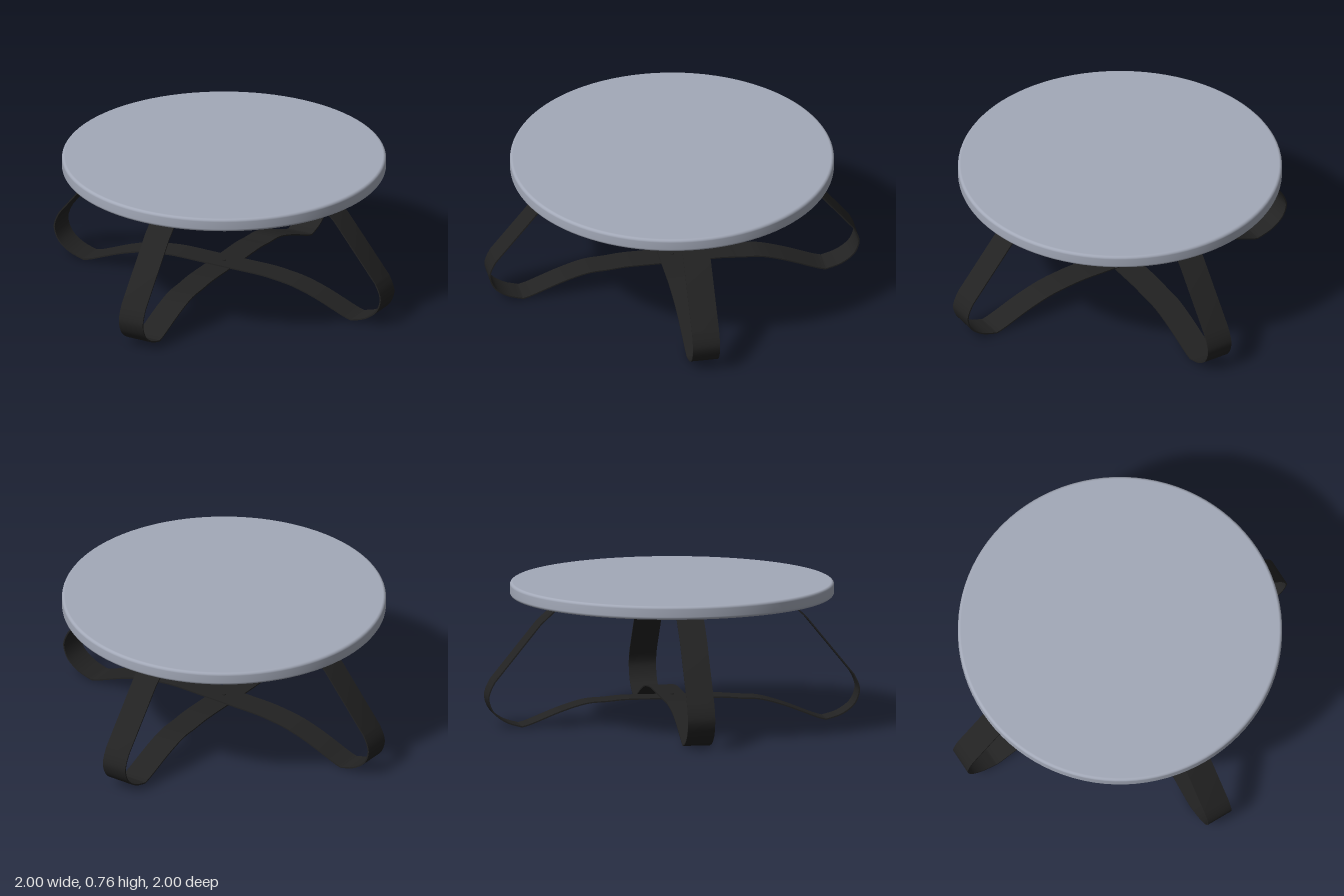
import * as THREE from 'three';
import { toCreasedNormals } from 'three/addons/utils/BufferGeometryUtils.js';

const THICK = 0.007, WIDTH = 0.146;

// Closed side outline of a bent metal strip, from a centre line
function stripShape(line) {
  const outer = [], inner = [];
  line.forEach((p, i) => {
    const a = line[Math.max(i - 1, 0)], b = line[Math.min(i + 1, line.length - 1)];
    const t = b.clone().sub(a).normalize();
    const n = new THREE.Vector2(-t.y, t.x).multiplyScalar(THICK / 2);
    outer.push(p.clone().add(n));
    inner.push(p.clone().sub(n));
  });
  return new THREE.Shape([...outer, ...inner.reverse()]);
}

// Mirrored centre line: mounting pad, slanted leg, rounded foot, arched stretcher
function centreLine(crossY) {
  const half = [new THREE.Vector2(0.295, 0.681), new THREE.Vector2(0.578, 0.681), new THREE.Vector2(0.717, 0.552)];
  const foot = new THREE.SplineCurve([[0.966, 0.245], [0.99, 0.195], [0.9965, 0.145], [0.968, 0.08], [0.9, 0.03], [0.818, 0.0045]]
    .map(p => new THREE.Vector2(...p)));
  const arch = new THREE.SplineCurve([[0.818, 0.0045], [0.765, 0.02], [0.604, 0.083], [0.47, 0.122], [0.36, crossY - 0.008], [0.26, crossY], [0.12, crossY]]
    .map(p => new THREE.Vector2(...p)));
  half.push(...foot.getPoints(20), ...arch.getPoints(24).slice(1));
  return [...half, ...half.map(p => new THREE.Vector2(-p.x, p.y)).reverse()];
}

export function createModel() {
  const model = new THREE.Group();
  model.name = 'roundTable';
  const topMat = new THREE.MeshStandardMaterial({ color: 0xa3a9b8 });
  topMat.name = 'greyTop';
  const metalMat = new THREE.MeshStandardMaterial({ color: 0x222222 });
  metalMat.name = 'blackMetal';

  function add(parent, name, geometry, material, x = 0, y = 0, z = 0) {
    const mesh = new THREE.Mesh(geometry, material);
    mesh.name = name;
    mesh.position.set(x, y, z);
    parent.add(mesh);
    return mesh;
  }

  // Round top with softened rims
  const R = 0.862, B = 0.684, T = 0.757, r = 0.016;
  const profile = [new THREE.Vector2(0, B)];
  for (let i = 0; i <= 4; i++) {
    const a = -Math.PI / 2 + i * Math.PI / 8;
    profile.push(new THREE.Vector2(R - r + r * Math.cos(a), B + r + r * Math.sin(a)));
  }
  for (let i = 0; i <= 4; i++) {
    const a = i * Math.PI / 8;
    profile.push(new THREE.Vector2(R - r + r * Math.cos(a), T - r + r * Math.sin(a)));
  }
  profile.push(new THREE.Vector2(0, T));
  add(model, 'tableTop', new THREE.LatheGeometry(profile, 96), topMat);

  // Two crossing bent strips, each making a pair of legs
  const screw = new THREE.SphereGeometry(0.014, 14, 8);
  screw.scale(1, 0.7, 1);
  [['sideLegs', 0.146, 0], ['frontBackLegs', 0.138, Math.PI / 2]].forEach(([name, crossY, turn]) => {
    const legs = new THREE.Group();
    legs.name = name;
    legs.rotation.y = turn;
    const geo = new THREE.ExtrudeGeometry(stripShape(centreLine(crossY)), { depth: WIDTH, bevelEnabled: false });
    geo.translate(0, 0, -WIDTH / 2);
    add(legs, 'bentStrip', toCreasedNormals(geo, 0.5), metalMat);
    // Screw heads under the mounting pads
    for (const s of [-1, 1]) for (const x of [0.38, 0.46]) add(legs, 'padScrew', screw, metalMat, s * x, 0.676, 0);
    model.add(legs);
  });

  // Bolt joining the strips where they cross
  add(model, 'crossBolt', new THREE.CylinderGeometry(0.012, 0.012, 0.024, 16), metalMat, 0, 0.142, 0);
  return model;
}
